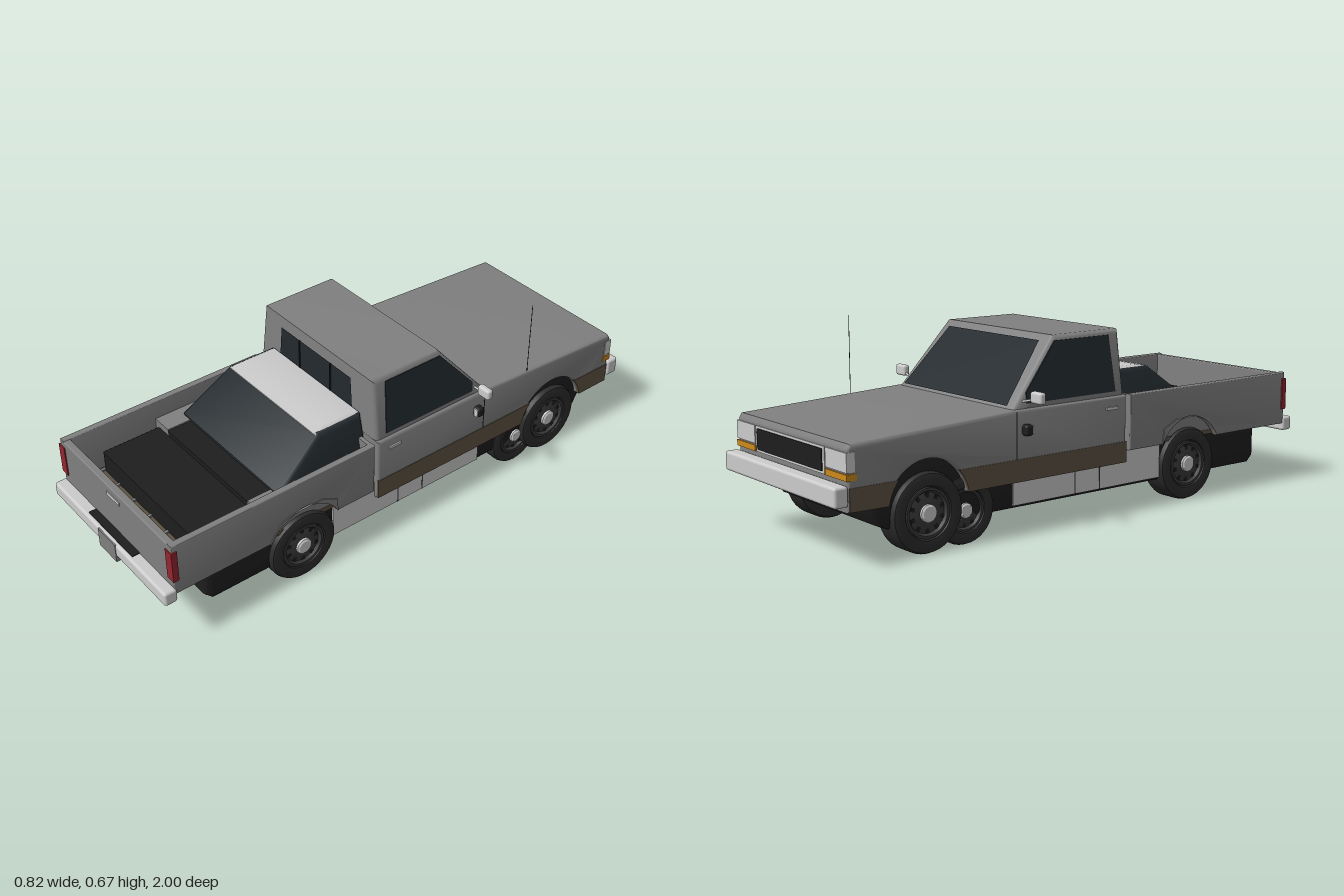
import * as THREE from 'three';
import { toCreasedNormals } from 'three/addons/utils/BufferGeometryUtils.js';
import { RoundedBoxGeometry } from 'three/addons/geometries/RoundedBoxGeometry.js';

const mat = (color) => new THREE.MeshStandardMaterial({ color });
const M = {
  paint: mat(0x808080), light: mat(0xcccccc), dark: mat(0x1e1e1e), glass: mat(0x22292d),
  brown: mat(0x5e5344), red: mat(0x94262f), amber: mat(0xcc8a1c), tyre: mat(0x2c2c2c), rim: mat(0x3a3a3a),
};

export function createModel() {
  const truck = new THREE.Group();
  const add = (name, geo, material, parent = truck) => {
    const m = new THREE.Mesh(geo, material);
    m.name = name;
    parent.add(m);
    return m;
  };
  // Box given by its limits, optionally rounded
  const box = (name, material, x0, x1, y0, y1, z0, z1, r = 0) => {
    const s = [x1 - x0, y1 - y0, z1 - z0];
    const g = r ? new RoundedBoxGeometry(...s, 2, r) : new THREE.BoxGeometry(...s);
    g.translate((x0 + x1) / 2, (y0 + y1) / 2, (z0 + z1) / 2);
    return add(name, g, material);
  };
  const poly = (pts) => new THREE.Shape(pts.map(([z, y]) => new THREE.Vector2(z, y)));
  // Side profile (z, y) extruded across x from x0 to x1
  const profile = (shape, x0, x1, bevel = 0) => {
    const w = x1 - x0;
    const g = new THREE.ExtrudeGeometry(shape, {
      depth: w - 2 * bevel, curveSegments: 20, bevelEnabled: bevel > 0,
      bevelThickness: bevel, bevelSize: bevel, bevelOffset: -bevel, bevelSegments: 3,
    });
    g.translate(0, 0, bevel - w / 2).rotateY(-Math.PI / 2).translate((x0 + x1) / 2, 0, 0);
    return toCreasedNormals(g, 0.6);
  };
  // Narrow a geometry in x by height: full at y0, scaled by k at y1
  const taper = (g, y0, y1, k) => {
    const p = g.attributes.position;
    for (let i = 0; i < p.count; i++) {
      const t = (p.getY(i) - y0) / (y1 - y0);
      p.setX(i, p.getX(i) * (1 + (k - 1) * t));
    }
    return toCreasedNormals(g, 0.6);
  };
  // Flat four-cornered panel, corners anticlockwise from outside
  const quad = (name, material, a, b, c, d) => {
    const g = new THREE.BufferGeometry();
    g.setAttribute('position', new THREE.Float32BufferAttribute([...a, ...b, ...c, ...d], 3));
    g.setIndex([0, 1, 2, 0, 2, 3]);
    g.computeVertexNormals();
    return add(name, g, material);
  };
  const sides = [['left', 1], ['right', -1]];
  const sideBox = (name, material, x0, x1, ...rest) => sides.forEach(([n, s]) =>
    box(n + name, material, s > 0 ? x0 : -x1, s > 0 ? x1 : -x0, ...rest));

  // Underbody with sills
  add('underbody', profile(poly([[0.83, 0.32], [0.83, 0.11], [0.805, 0.085], [-0.76, 0.085],
    [-0.82, 0.11], [-0.87, 0.2], [-0.87, 0.32]]), -0.312, 0.312, 0.025), M.dark);
  box('rearLowerPanel', M.rim, -0.185, 0.185, 0.105, 0.145, 0.82, 0.833);
  sideBox('Sill', M.light, 0.27, 0.318, 0.1, 0.24, -0.32, 0.33);
  [-0.06, 0.05].forEach((z) => sideBox('SillSeam', M.rim, 0.31, 0.319, 0.1, 0.18, z - 0.002, z + 0.002));

  // Lower cab and hood with front wheel arch
  const FZ = -0.66, RZ = 0.46, AY = 0.155, AR = 0.15;
  const lower = poly([[0.155, 0.18], [0.155, 0.415], [-0.33, 0.415], [-0.94, 0.386], [-0.95, 0.37], [-0.95, 0.18]]);
  const a0 = Math.asin((0.18 - AY) / AR), a1 = Math.asin((0.255 - AY) / AR);
  lower.absarc(FZ, AY, AR, Math.PI - a0, a0, true);
  add('cabAndHood', profile(lower, -0.336, 0.336, 0.01), M.paint);

  // Two-tone strip either side of the arch
  const stripRear = poly([[0.154, 0.182], [0.154, 0.255]]);
  stripRear.absarc(FZ, AY, AR, a1, a0, true);
  const stripFront = poly([[-0.945, 0.255], [-0.945, 0.182]]);
  stripFront.absarc(FZ, AY, AR, Math.PI - a0, Math.PI - a1, true);
  [stripRear, stripFront].forEach((s) => add('lowerStrip', profile(s, -0.338, 0.338), M.brown));

  // Cab greenhouse and windows
  add('cabRoof', taper(profile(poly([[0.155, 0.39], [0.15, 0.637], [-0.135, 0.637], [-0.335, 0.405], [-0.335, 0.39]]),
    -0.325, 0.325, 0.018), 0.41, 0.637, 0.91), M.paint);
  add('sideWindows', taper(profile(poly([[0.112, 0.43], [0.1, 0.62], [-0.135, 0.62], [-0.27, 0.465], [-0.27, 0.43]]),
    -0.328, 0.328), 0.41, 0.637, 0.91), M.glass);
  quad('rearWindow', M.glass, [-0.205, 0.43, 0.159], [0.205, 0.43, 0.159], [0.19, 0.598, 0.156], [-0.19, 0.598, 0.156]);
  [-0.085, 0.085].forEach((x) => box('rearWindowDivider', M.dark, x - 0.001, x + 0.001, 0.43, 0.598, 0.155, 0.162));
  quad('windshield', M.glass, [0.292, 0.425, -0.327], [-0.292, 0.425, -0.327], [-0.25, 0.618, -0.16], [0.25, 0.618, -0.16]);

  // Doors: seams, handles, mirrors
  sideBox('DoorSeam', M.dark, 0.33, 0.3365, 0.2, 0.41, -0.322, -0.318);
  sideBox('DoorHandle', M.light, 0.33, 0.341, 0.371, 0.381, 0.06, 0.11);
  sideBox('MirrorHead', M.light, 0.355, 0.411, 0.437, 0.476, -0.285, -0.26, 0.009);
  sideBox('LowerMirror', M.dark, 0.33, 0.361, 0.33, 0.368, -0.3, -0.27, 0.01);
  sideBox('LowerMirrorGlass', M.light, 0.34, 0.357, 0.334, 0.364, -0.28, -0.268);
  sides.forEach(([n, s]) => {
    const path = new THREE.LineCurve3(new THREE.Vector3(s * 0.31, 0.436, -0.285), new THREE.Vector3(s * 0.37, 0.45, -0.272));
    add(n + 'MirrorArm', new THREE.TubeGeometry(path, 1, 0.004, 8), M.light);
    path.v1.set(s * 0.318, 0.452, -0.285);
  });
  add('antenna', new THREE.CylinderGeometry(0.0012, 0.0012, 0.27, 6).translate(0.33, 0.54, -0.525), M.dark);

  // Front face
  box('grilleFrame', M.light, -0.212, 0.212, 0.277, 0.362, -0.953, -0.94);
  box('grille', M.dark, -0.2, 0.2, 0.285, 0.354, -0.956, -0.94);
  sideBox('Headlight', M.light, 0.218, 0.338, 0.302, 0.362, -0.954, -0.925);
  sideBox('Indicator', M.amber, 0.218, 0.339, 0.277, 0.297, -0.955, -0.92);
  box('frontBumper', M.light, -0.342, 0.342, 0.2, 0.265, -1, -0.95, 0.01);

  // Cargo bed: side walls with arches, end walls, ribbed floor
  const wall = poly([[0.957, 0.22], [0.957, 0.415], [0.17, 0.415], [0.17, 0.22]]);
  const b = Math.asin((0.22 - AY) / AR);
  wall.absarc(RZ, AY, AR, Math.PI - b, b, true);
  const flare = poly([[0.598, 0.225], [0.575, 0.262], [0.545, 0.293], [0.5, 0.303], [0.39, 0.303], [0.33, 0.275], [0.325, 0.225]]);
  flare.absarc(RZ, AY, AR, Math.PI - b, b, true);
  sides.forEach(([n, s]) => {
    const span = (p, q) => (s > 0 ? [p, q] : [-q, -p]);
    add(n + 'BedWall', profile(wall, ...span(0.314, 0.338), 0.005), M.paint);
    add(n + 'ArchFlare', profile(flare, ...span(0.325, 0.341)), M.paint);
  });
  box('bedFrontWall', M.paint, -0.32, 0.32, 0.22, 0.412, 0.17, 0.185);
  box('tailgate', M.paint, -0.335, 0.335, 0.24, 0.412, 0.93, 0.957, 0.005);
  box('bedFloor', M.brown, -0.32, 0.32, 0.225, 0.24, 0.18, 0.94);
  for (let i = -3; i <= 3; i++) box('floorRib', M.paint, i * 0.1 - 0.005, i * 0.1 + 0.005, 0.24, 0.246, 0.82, 0.93);
  sideBox('WheelHousing', M.paint, 0.235, 0.316, 0.24, 0.345, 0.18, 0.61);

  // Rear face
  box('tailgateHandle', M.light, -0.038, 0.038, 0.375, 0.388, 0.94, 0.96);
  sideBox('TailLight', M.red, 0.308, 0.343, 0.276, 0.391, 0.94, 0.961);
  box('rearBumper', M.light, -0.343, 0.343, 0.193, 0.245, 0.95, 0.998, 0.01);
  box('bumperStep', M.dark, -0.135, 0.135, 0.225, 0.248, 0.957, 0.985);
  box('plate', M.paint, -0.053, 0.053, 0.172, 0.243, 0.985, 1);

  // Low canopy inside the bed
  add('canopy', taper(profile(poly([[0.158, 0.3], [0.158, 0.488], [0.335, 0.488], [0.52, 0.35], [0.52, 0.3]]),
    -0.287, 0.287, 0.015), 0.33, 0.49, 0.87), M.glass);
  add('canopyRoof', taper(profile(poly([[0.16, 0.468], [0.16, 0.489], [0.2, 0.494], [0.3, 0.494], [0.345, 0.487], [0.34, 0.468]]),
    -0.258, 0.258, 0.006), 0.465, 0.495, 0.9), M.light);
  box('canopyRearDeck', M.dark, -0.235, 0.235, 0.3, 0.34, 0.5, 0.61);

  // Wheels: lathed tyre, ribbed rim and hub, outer face towards local +x
  const wheel = (name, s, x, y, z, R) => {
    const g = new THREE.Group();
    g.name = name;
    const lathe = (pts) => new THREE.LatheGeometry(pts.map(([r, h]) => new THREE.Vector2(r * R, h)), 36).rotateZ(-Math.PI / 2);
    add('tyre', toCreasedNormals(lathe([[0, -0.045], [0.85, -0.05], [0.96, -0.046], [1, -0.034], [1, 0.034],
      [0.96, 0.046], [0.85, 0.05], [0.66, 0.047], [0.62, 0.034], [0, 0.034]]), 0.5), M.tyre, g);
    add('rim', toCreasedNormals(lathe([[0.62, 0.03], [0.62, 0.046], [0.55, 0.046], [0.5, 0.036], [0.34, 0.04], [0, 0.042]]), 0.5), M.rim, g);
    add('hub', toCreasedNormals(lathe([[0.22, 0.03], [0.22, 0.049], [0.17, 0.053], [0, 0.053]]), 0.5), M.light, g);
    for (let i = 0; i < 10; i++) {
      add('rimSlot', new THREE.BoxGeometry(0.004, 0.13 * R, 0.1 * R).translate(0.037, 0.43 * R, 0)
        .rotateX((i * Math.PI) / 5), M.dark, g);
    }
    g.position.set(s * x, y, z);
    if (s < 0) g.rotation.y = Math.PI;
    truck.add(g);
  };
  sides.forEach(([n, s]) => {
    wheel(n + 'RearWheel', s, 0.283, 0.133, RZ, 0.13);
    wheel(n + 'FrontWheel', s, 0.283, 0.133, FZ, 0.13);
    wheel(n + 'InnerFrontWheel', s, 0.27, 0.115, -0.51, 0.112);
  });
  return truck;
}
